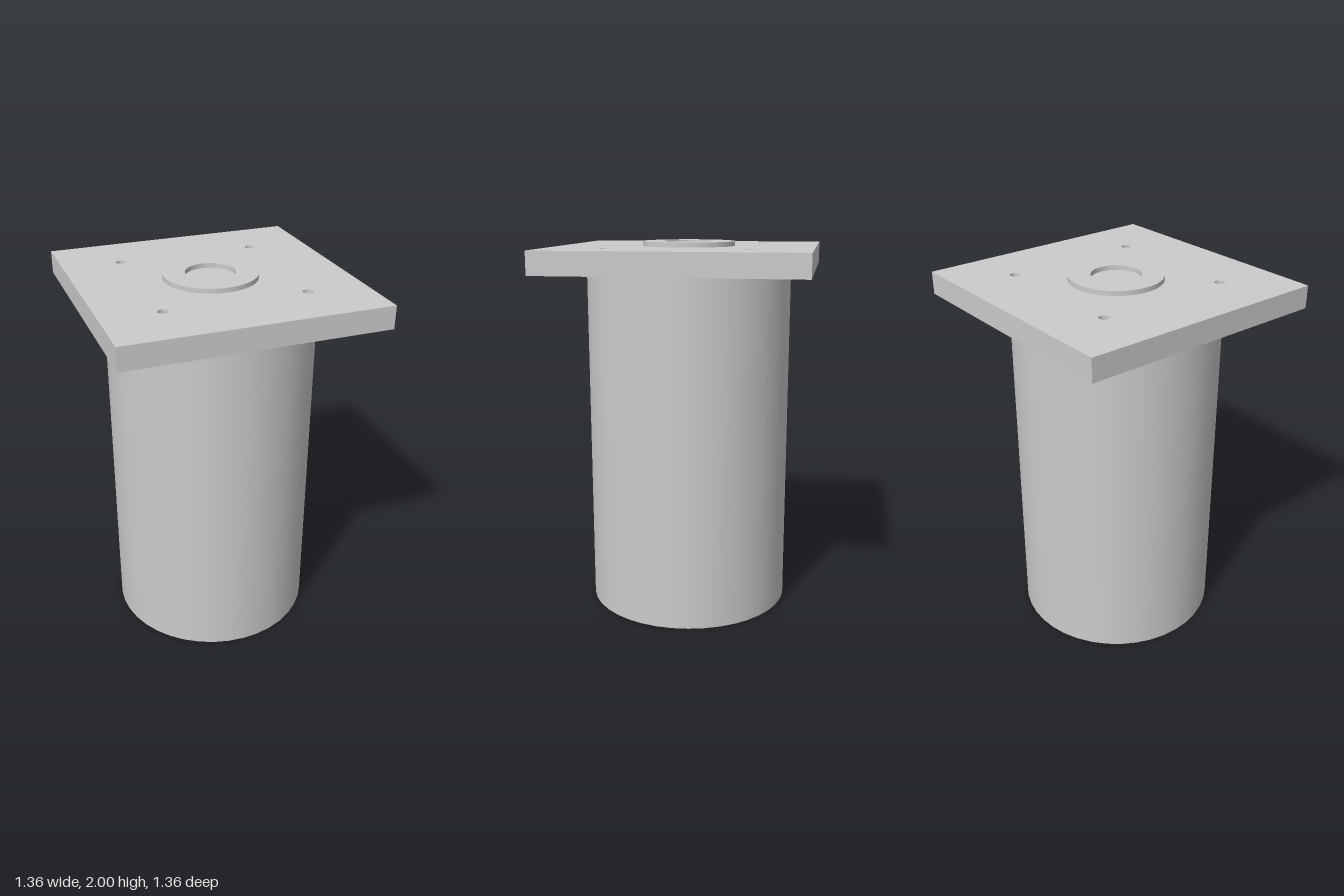
import * as THREE from 'three';

const material = new THREE.MeshStandardMaterial({ color: 0xcccccc });

// Extrudes a flat shape upwards from height y
function slab(name, shape, y, height, curveSegments) {
  const geometry = new THREE.ExtrudeGeometry(shape, { depth: height, bevelEnabled: false, curveSegments });
  geometry.rotateX(-Math.PI / 2);
  const mesh = new THREE.Mesh(geometry, material);
  mesh.name = name;
  mesh.position.y = y;
  return mesh;
}

function circleHole(x, y, radius) {
  return new THREE.Path().absarc(x, y, radius, 0, Math.PI * 2, true);
}

export function createModel() {
  const model = new THREE.Group();
  model.name = 'flangedCylinder';

  const bodyHeight = 1.855, plateHeight = 0.12, plateHalf = 0.68;
  const plateTop = bodyHeight + plateHeight;

  // Solid cylindrical body
  const body = new THREE.Mesh(new THREE.CylinderGeometry(0.55, 0.55, bodyHeight, 40), material);
  body.name = 'body';
  body.position.y = bodyHeight / 2;
  model.add(body);

  // Square plate with four bolt holes that end on the body
  const plate = new THREE.Shape([
    new THREE.Vector2(-plateHalf, -plateHalf),
    new THREE.Vector2(plateHalf, -plateHalf),
    new THREE.Vector2(plateHalf, plateHalf),
    new THREE.Vector2(-plateHalf, plateHalf),
  ]);
  for (const x of [-0.37, 0.37]) {
    for (const z of [-0.37, 0.37]) plate.holes.push(circleHole(x, z, 0.027));
  }
  model.add(slab('mountingPlate', plate, bodyHeight, plateHeight, 24));

  // Raised locating ring around the centre
  const ring = new THREE.Shape().absarc(0, 0, 0.247, 0, Math.PI * 2, false);
  ring.holes.push(circleHole(0, 0, 0.13));
  model.add(slab('locatingRing', ring, plateTop, 2 - plateTop, 48));

  return model;
}
